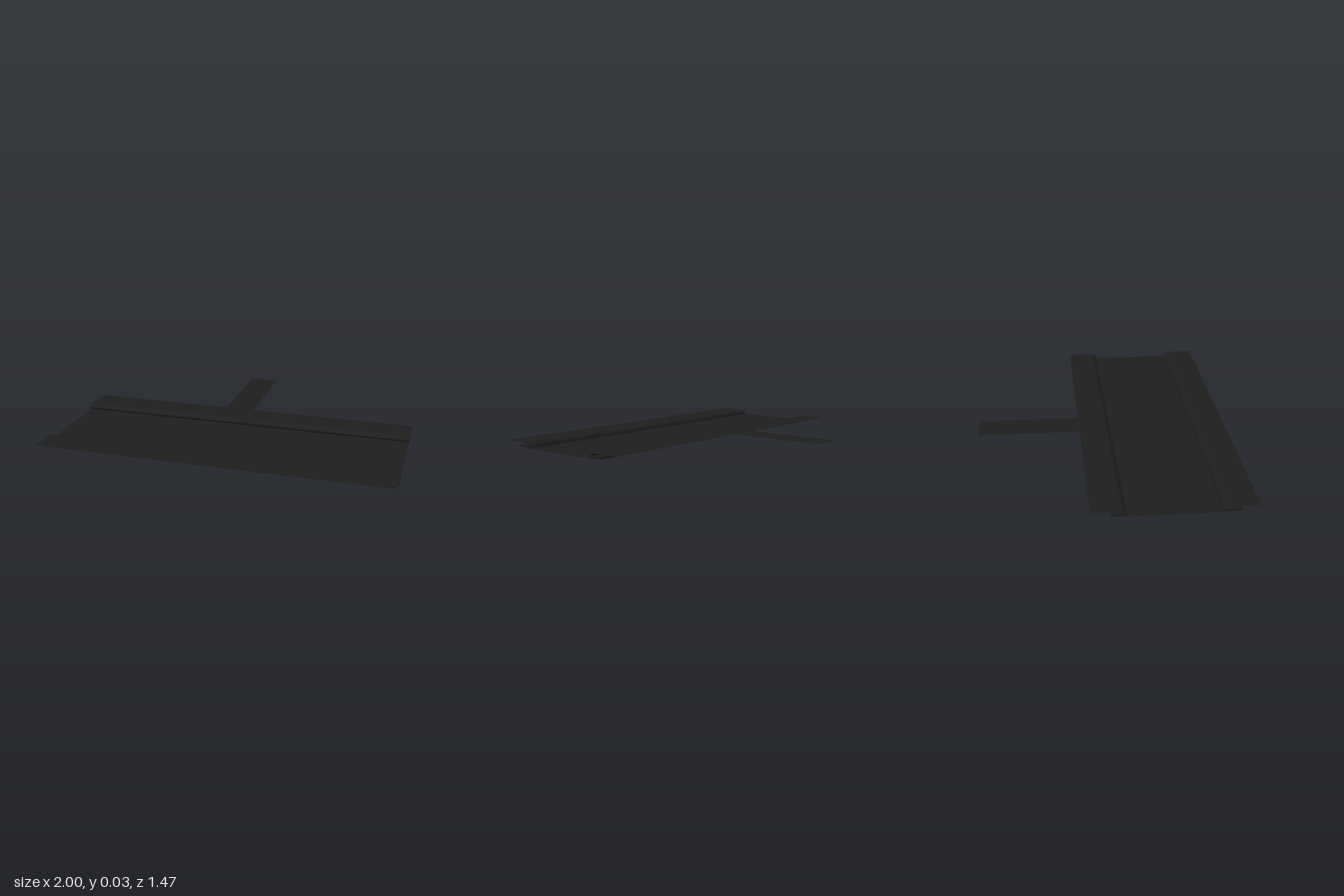
import * as THREE from 'three';

const material = new THREE.MeshStandardMaterial({ color: 0x1e1e1e, side: THREE.DoubleSide, flatShading: true });
const TOP = 0.031; // pavement height above the road

// Open sheet: a [z, y] profile swept along x from x0 to x1
function sheet(name, profile, x0 = -1, x1 = 1) {
  const geometry = new THREE.PlaneGeometry(1, 1, 1, profile.length - 1);
  const p = geometry.attributes.position;
  profile.forEach(([z, y], i) => {
    p.setXYZ(2 * i, x0, y, z);
    p.setXYZ(2 * i + 1, x1, y, z);
  });
  geometry.computeVertexNormals();
  const mesh = new THREE.Mesh(geometry, material);
  mesh.name = name;
  return mesh;
}

// Solid bar: a closed [z, y] outline extruded along the whole width
function bar(name, outline) {
  const shape = new THREE.Shape(outline.map(([z, y]) => new THREE.Vector2(-z, y)));
  const geometry = new THREE.ExtrudeGeometry(shape, { depth: 2, bevelEnabled: false });
  geometry.translate(0, 0, -1).rotateY(Math.PI / 2);
  const mesh = new THREE.Mesh(geometry, material);
  mesh.name = name;
  return mesh;
}

export function createModel() {
  const group = new THREE.Group();
  group.name = 'roadSection';

  // Carriageway
  group.add(sheet('road', [[0.05, 0], [0.54, 0]]));

  // Raised pavements, each with a rounded kerb dropping to the road
  const kerb = (z, dir) => [
    [z, 0], [z + dir * 0.006, 0.014], [z + dir * 0.016, 0.025], [z + dir * 0.032, TOP],
  ];
  group.add(sheet('backPavement', [[-0.14, TOP], ...kerb(0.05, -1).reverse()]));
  group.add(sheet('frontPavement', [...kerb(0.54, 1), [0.73, TOP]]));

  // Path leading away from the back pavement
  group.add(sheet('path', [[-0.735, TOP], [-0.14, TOP]], -0.15, 0.025));

  // Kerb stones with slanted sides, bedded under the pavements
  for (const [name, z] of [['backKerbStone', -0.033], ['frontKerbStone', 0.541]]) {
    group.add(bar(name, [[z, 0.003], [z + 0.082, 0.003], [z + 0.088, 0.016], [z + 0.005, 0.016]]));
  }
  return group;
}
